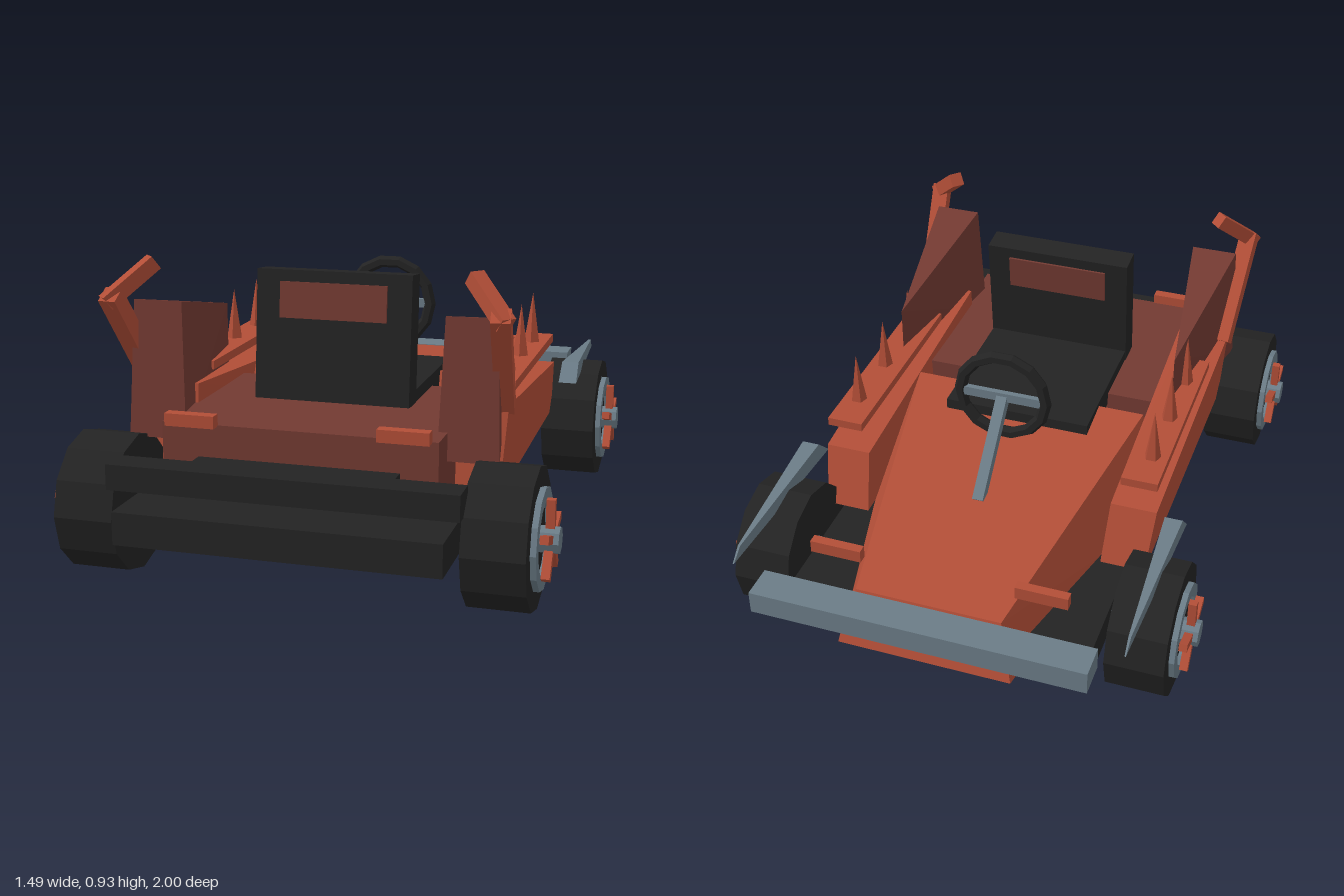
import * as THREE from 'three';
import { ConvexGeometry } from 'three/addons/geometries/ConvexGeometry.js';

const paint = (name, color) => {
  const m = new THREE.MeshStandardMaterial({ color, flatShading: true });
  m.name = name;
  return m;
};

export function createModel() {
  const orange = paint('rust orange', 0xb24e37);
  const maroon = paint('dark maroon', 0x733a32);
  const black = paint('black', 0x232323);
  const steel = paint('blue steel', 0x6b7c87);

  const kart = new THREE.Group();
  kart.name = 'kart';

  const add = (name, geometry, material, parent = kart) => {
    const mesh = new THREE.Mesh(geometry, material);
    mesh.name = name;
    parent.add(mesh);
    return mesh;
  };
  // Box given by its lower and upper bounds on each axis
  const box = (name, material, [x0, x1], [y0, y1], [z0, z1], parent) => {
    const mesh = add(name, new THREE.BoxGeometry(x1 - x0, y1 - y0, z1 - z0), material, parent);
    mesh.position.set((x0 + x1) / 2, (y0 + y1) / 2, (z0 + z1) / 2);
    return mesh;
  };
  // Faceted solid around a few corners; s mirrors it across x
  const solid = (name, material, corners, s = 1) =>
    add(name, new ConvexGeometry(corners.map(([x, y, z]) => new THREE.Vector3(s * x, y, z))), material);
  // Square bar from a to b
  const bar = (name, material, a, b, w, h) => {
    const from = new THREE.Vector3(...a), to = new THREE.Vector3(...b);
    const mesh = add(name, new THREE.BoxGeometry(w, h, from.distanceTo(to)), material);
    mesh.position.copy(from).lerp(to, 0.5);
    mesh.lookAt(to);
    return mesh;
  };
  const span = (s, a, b) => (s > 0 ? [a, b] : [-b, -a]);
  const bothSides = pts => pts.flatMap(([x, y, z]) => [[x, y, z], [-x, y, z]]);

  // Chassis and body
  box('floor', black, [-0.475, 0.475], [0.165, 0.262], [-0.855, 1]);
  box('rearBumper', black, [-0.51, 0.51], [0.31, 0.385], [0.86, 0.955]);
  box('frontBumper', steel, [-0.515, 0.515], [0.292, 0.365], [-1, -0.895]);
  box('rearDeck', maroon, [-0.41, 0.41], [0.25, 0.472], [0.16, 0.78]);
  box('bumperMount', black, [-0.3, 0.3], [0.32, 0.375], [0.77, 0.87]);
  solid('nose', orange, bothSides([
    [0.27, 0.19, -0.94], [0.225, 0.365, -0.885],
    [0.4, 0.25, -0.35], [0.41, 0.25, 0.12], [0.39, 0.495, 0.05],
  ]));

  // Seat with a backrest leaning forward
  box('seatCushion', black, [-0.24, 0.24], [0.43, 0.51], [-0.09, 0.42]);
  const backrest = new THREE.Group();
  backrest.name = 'backrest';
  backrest.position.set(0, 0.67, 0.398);
  backrest.rotation.x = -0.1;
  kart.add(backrest);
  box('backrestPad', black, [-0.242, 0.242], [-0.2, 0.195], [-0.043, 0.043], backrest);
  box('backrestPatch', maroon, [-0.167, 0.167], [0.05, 0.16], [-0.05, 0.05], backrest);

  // Steering
  const wheelRing = add('steeringWheel', new THREE.TorusGeometry(0.14, 0.02, 6, 14), black);
  wheelRing.position.set(0, 0.662, -0.217);
  box('steeringSpoke', steel, [-0.13, 0.13], [0.647, 0.677], [-0.229, -0.211]);
  bar('steeringColumn', steel, [0, 0.655, -0.215], [0, 0.42, -0.45], 0.035, 0.035);

  for (const s of [1, -1]) {
    // Side pods and the bolted rails with spikes
    solid('sidePod', orange, [
      [0.39, 0.262, -0.43], [0.53, 0.262, -0.43], [0.4, 0.45, -0.37], [0.545, 0.45, -0.37],
      [0.39, 0.53, 0.55], [0.56, 0.53, 0.55], [0.39, 0.262, 0.575], [0.54, 0.262, 0.575],
    ], s);
    box('spikeRail', orange, span(s, 0.425, 0.54), [0.523, 0.55], [-0.36, 0.34]);
    for (const z of [-0.23, -0.015, 0.2]) {
      add('spike', new THREE.ConeGeometry(0.032, 0.2, 5), orange).position.set(s * 0.49, 0.615, z);
    }

    // Rear fins with bent horns
    solid('rearFin', maroon, [
      [0.47, 0.69, 0.1], [0.47, 0.48, 0.1], [0.395, 0.8, 0.65], [0.545, 0.8, 0.65],
      [0.38, 0.39, 0.68], [0.56, 0.39, 0.68],
    ], s);
    bar('hornBase', orange, [s * 0.545, 0.52, 0.525], [s * 0.57, 0.83, 0.755], 0.055, 0.055);
    bar('hornTip', orange, [s * 0.585, 0.805, 0.755], [s * 0.475, 0.915, 0.655], 0.045, 0.045);

    // Blades over the front wheels
    solid('frontBlade', steel, [
      [0.57, 0.39, -0.32], [0.63, 0.39, -0.32], [0.572, 0.45, -0.38], [0.628, 0.45, -0.38],
      [0.596, 0.425, -0.88], [0.604, 0.425, -0.88], [0.598, 0.39, -0.925], [0.602, 0.39, -0.925],
    ], s);

    // Lamps at both ends
    box('rearLamp', orange, span(s, 0.24, 0.39), [0.468, 0.505], [0.775, 0.81]);
    box('frontLamp', orange, span(s, 0.24, 0.4), [0.4, 0.44], [-0.81, -0.78]);
  }

  // Wheels: built on a y axis, then turned so the outer face points sideways
  const rimProfile = [[0.148, 0.08], [0.148, 0.107], [0.108, 0.107], [0.108, 0.08], [0.148, 0.08]]
    .map(([r, y]) => new THREE.Vector2(r, y));
  for (const s of [1, -1]) {
    for (const z of [-0.585, 0.735]) {
      const wheel = new THREE.Group();
      wheel.name = z < 0 ? 'frontWheel' : 'rearWheel';
      wheel.position.set(s * 0.595, 0.2075, z);
      wheel.rotation.z = -s * Math.PI / 2;
      kart.add(wheel);
      add('tyre', new THREE.CylinderGeometry(0.2075, 0.2075, 0.18, 12), black, wheel);
      add('rim', new THREE.LatheGeometry(rimProfile, 12), steel, wheel);
      add('hub', new THREE.CylinderGeometry(0.04, 0.04, 0.07, 8), steel, wheel).position.y = 0.115;
      for (let i = 0; i < 5; i++) {
        // First spoke points straight up
        const a = (i / 5) * Math.PI * 2;
        const spoke = add('spoke', new THREE.BoxGeometry(0.09, 0.025, 0.024), orange, wheel);
        spoke.position.set(-s * Math.cos(a) * 0.072, 0.122, Math.sin(a) * 0.072);
        spoke.rotation.y = s * a;
      }
    }
  }
  for (const z of [-0.585, 0.735]) {
    const axle = add('axle', new THREE.CylinderGeometry(0.028, 0.028, 1.1, 8), steel);
    axle.rotation.z = Math.PI / 2;
    axle.position.set(0, 0.215, z);
  }

  return kart;
}
